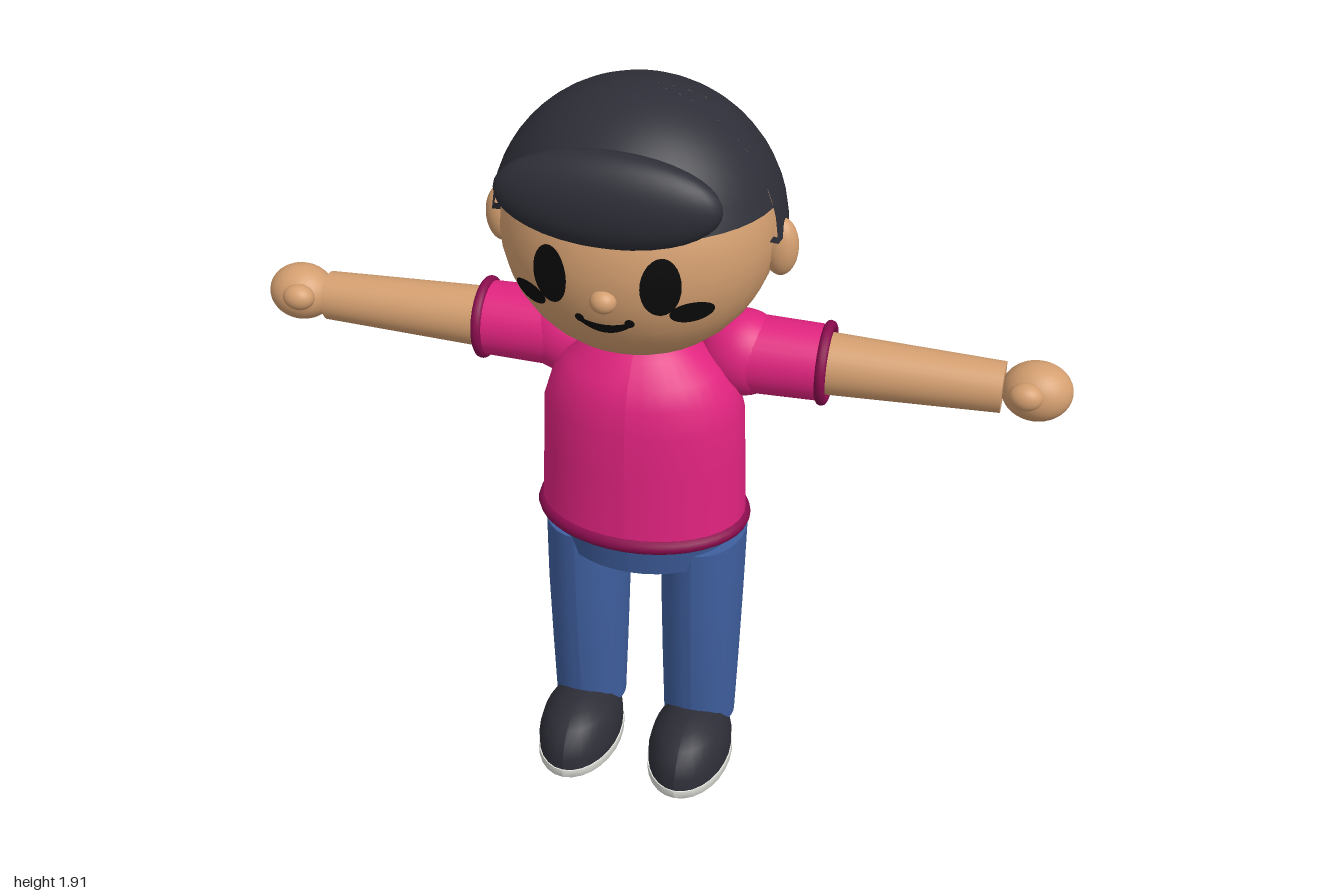
import * as THREE from 'three';

const mat = (name, color, side = THREE.FrontSide) => {
  const m = new THREE.MeshStandardMaterial({ color, side });
  m.name = name;
  return m;
};

// Stacked elliptical rings [y, centreZ, radiusX, radiusZ], listed from the top down, with flat ends
function loft(rings, sides = 28) {
  const pos = [], idx = [];
  const row = ([y, cz, rx, rz]) => {
    for (let i = 0; i <= sides; i++) {
      const a = (i / sides) * Math.PI * 2;
      pos.push(Math.sin(a) * rx, y, cz + Math.cos(a) * rz);
    }
  };
  const point = ([y, cz]) => [y, cz, 0, 0];
  const last = rings[rings.length - 1];
  const parts = [[point(rings[0]), rings[0]], rings, [last, point(last)]];
  for (const part of parts) {
    const base = pos.length / 3;
    part.forEach(row);
    for (let j = 0; j < part.length - 1; j++) {
      for (let i = 0; i < sides; i++) {
        const a = base + j * (sides + 1) + i, b = a + sides + 1;
        idx.push(a, b, a + 1, b, b + 1, a + 1);
      }
    }
  }
  const g = new THREE.BufferGeometry();
  g.setAttribute('position', new THREE.Float32BufferAttribute(pos, 3));
  g.setIndex(idx);
  g.computeVertexNormals();
  return g;
}

export function createModel() {
  const model = new THREE.Group();
  model.name = 'girl';
  const skin = mat('skin', 0xd49f70);
  const hair = mat('hair', 0x2d2e37, THREE.DoubleSide);
  const pink = mat('shirt pink', 0xe0237f);
  const trim = mat('trim dark pink', 0x8a0c4e);
  const denim = mat('denim blue', 0x3f5f9f);
  const white = mat('sole white', 0xe6e6e0);
  const black = mat('face black', 0x0a0a0a, THREE.DoubleSide);

  const add = (name, geo, material, x = 0, y = 0, z = 0, parent = model) => {
    const m = new THREE.Mesh(geo, material);
    m.name = name;
    m.position.set(x, y, z);
    parent.add(m);
    return m;
  };
  const ball = (name, material, [x, y, z], [rx, ry, rz], parent) => {
    const g = new THREE.SphereGeometry(1, 32, 20).scale(rx, ry, rz);
    return add(name, g, material, x, y, z, parent);
  };

  // Head
  const C = [0, 1.575, 0.05], R = [0.316, 0.308, 0.305];
  ball('head', skin, C, R);
  ball('nose', skin, [0, 1.525, 0.35], [0.03, 0.027, 0.027]);

  // Face plates follow the curve of the head
  const onFace = (name, geo) => {
    const p = geo.attributes.position;
    for (let i = 0; i < p.count; i++) {
      const u = p.getX(i) / R[0], v = (p.getY(i) - C[1]) / R[1];
      p.setZ(i, C[2] + R[2] * Math.sqrt(1 - u * u - v * v) + 0.009);
    }
    geo.computeVertexNormals();
    add(name, geo, black);
  };
  const oval = (x, y, rx, ry) => new THREE.CircleGeometry(1, 28).scale(rx, ry, 1).translate(x, y, 0);
  for (const s of [1, -1]) {
    onFace('eye', oval(s * 0.123, 1.567, 0.042, 0.07));
    onFace('cheek', oval(s * 0.182, 1.495, 0.043, 0.028));
    onFace('mouthCorner', oval(s * 0.056, 1.474, 0.011, 0.012));
    ball('ear', skin, [s * 0.325, 1.55, 0.05], [0.04, 0.07, 0.036]);
  }
  const smile = new THREE.PlaneGeometry(0.12, 2, 16, 1);
  const sp = smile.attributes.position;
  for (let i = 0; i < sp.count; i++) {
    const t = sp.getX(i) / 0.06;
    sp.setY(i, 1.452 + 0.02 * t * t + sp.getY(i) * (0.013 - 0.007 * t * t));
  }
  onFace('mouth', smile);

  // Hair cap in patches [start angle, end angle, depth down the skull], each with an inward lip
  const deg = Math.PI / 180, rows = 16;
  const patches = [[11, 169, 73], [169, 190, 88], [-10, 11, 88], [190, 250, 103], [250, 290, 118], [290, 350, 103]];
  for (const [a, b, depth] of patches) {
    const cols = Math.max(4, Math.round((b - a) / 8));
    const g = new THREE.SphereGeometry(1, cols, rows, a * deg, (b - a) * deg, 0, depth * deg);
    const p = g.attributes.position;
    for (let i = 0; i <= cols; i++) {
      const end = rows * (cols + 1) + i, x = p.getX(end), y = p.getY(end), z = p.getZ(end);
      p.setXYZ(end - cols - 1, x, y, z);
      p.setXYZ(end, x * 0.88, y, z * 0.88);
    }
    add('hairCap', g.scale(0.336, 0.332, 0.315), hair, ...C);
  }
  ball('fringe', hair, [0, 1.75, 0.315], [0.25, 0.106, 0.064]).rotation.x = -0.15;
  ball('ponytailKnot', hair, [0, 1.68, -0.25], [0.075, 0.078, 0.06]);
  add('ponytail', loft([
    [1.735, -0.26, 0.03, 0.025], [1.71, -0.268, 0.06, 0.045], [1.62, -0.295, 0.075, 0.066],
    [1.52, -0.306, 0.084, 0.076], [1.44, -0.308, 0.085, 0.072], [1.3, -0.3, 0.068, 0.058],
    [1.17, -0.288, 0.047, 0.04], [1.135, -0.285, 0.036, 0.032], [1.12, -0.283, 0.018, 0.018]]), hair);

  // Shirt
  add('shirt', loft([
    [1.285, 0.015, 0.05, 0.045], [1.275, 0.015, 0.085, 0.07], [1.24, 0.014, 0.13, 0.11],
    [1.19, 0.012, 0.19, 0.153], [1.14, 0.011, 0.225, 0.172], [1.07, 0.011, 0.246, 0.183],
    [0.95, 0.012, 0.25, 0.184], [0.77, 0.013, 0.257, 0.187]], 36), pink);
  const hem = new THREE.TorusGeometry(0.25, 0.019, 10, 40).rotateX(Math.PI / 2).scale(1, 1, 0.745);
  add('shirtHem', hem, trim, 0, 0.766, 0.013);

  // Hips
  add('hips', loft([[0.78, 0.008, 0.242, 0.184], [0.66, 0, 0.213, 0.168]], 36), denim);

  for (const s of [1, -1]) {
    // Legs
    const leg = new THREE.Group();
    leg.name = s > 0 ? 'leftLeg' : 'rightLeg';
    leg.position.x = s * 0.15;
    model.add(leg);
    add('trouserLeg', loft([
      [0.71, -0.015, 0.106, 0.145], [0.52, -0.005, 0.104, 0.13],
      [0.3, 0, 0.099, 0.108], [0.12, 0.004, 0.094, 0.086]]), denim, 0, 0, 0, leg);

    // Shoes
    add('shoeUpper', loft([
      [0.18, 0.11, 0.012, 0.03], [0.175, 0.11, 0.045, 0.075], [0.155, 0.107, 0.078, 0.125],
      [0.125, 0.104, 0.096, 0.158], [0.09, 0.102, 0.105, 0.173], [0.05, 0.102, 0.105, 0.174]]), hair, 0, 0, 0, leg);
    add('shoeSole', loft([
      [0.058, 0.102, 0.108, 0.177], [0.035, 0.102, 0.108, 0.177], [0.02, 0.102, 0.095, 0.155],
      [0.007, 0.102, 0.06, 0.1], [0, 0.102, 0.015, 0.03]]), white, 0, 0, 0, leg);

    // Arms, built along x
    const arm = new THREE.Group();
    arm.name = s > 0 ? 'leftArm' : 'rightArm';
    arm.position.set(0, 1.188, -0.076);
    model.add(arm);
    const limb = (name, x0, x1, r0, r1, material) => {
      const g = new THREE.CylinderGeometry(r1, r0, x1 - x0, 28).rotateZ(-s * Math.PI / 2);
      add(name, g, material, s * (x0 + x1) / 2, 0, 0, arm);
    };
    ball('shoulder', pink, [s * 0.22, 0, 0], [0.108, 0.108, 0.1], arm);
    limb('sleeve', 0.2, 0.425, 0.097, 0.092, pink);
    const cuff = new THREE.TorusGeometry(0.09, 0.013, 10, 28).rotateY(Math.PI / 2);
    add('sleeveCuff', cuff, trim, s * 0.423, 0, 0, arm);
    limb('forearm', 0.41, 0.84, 0.076, 0.061, skin);
    ball('hand', skin, [s * 0.917, 0, -0.004], [0.083, 0.071, 0.072], arm);
    ball('thumb', skin, [s * 0.895, 0.022, 0.066], [0.04, 0.033, 0.032], arm);
  }
  return model;
}
